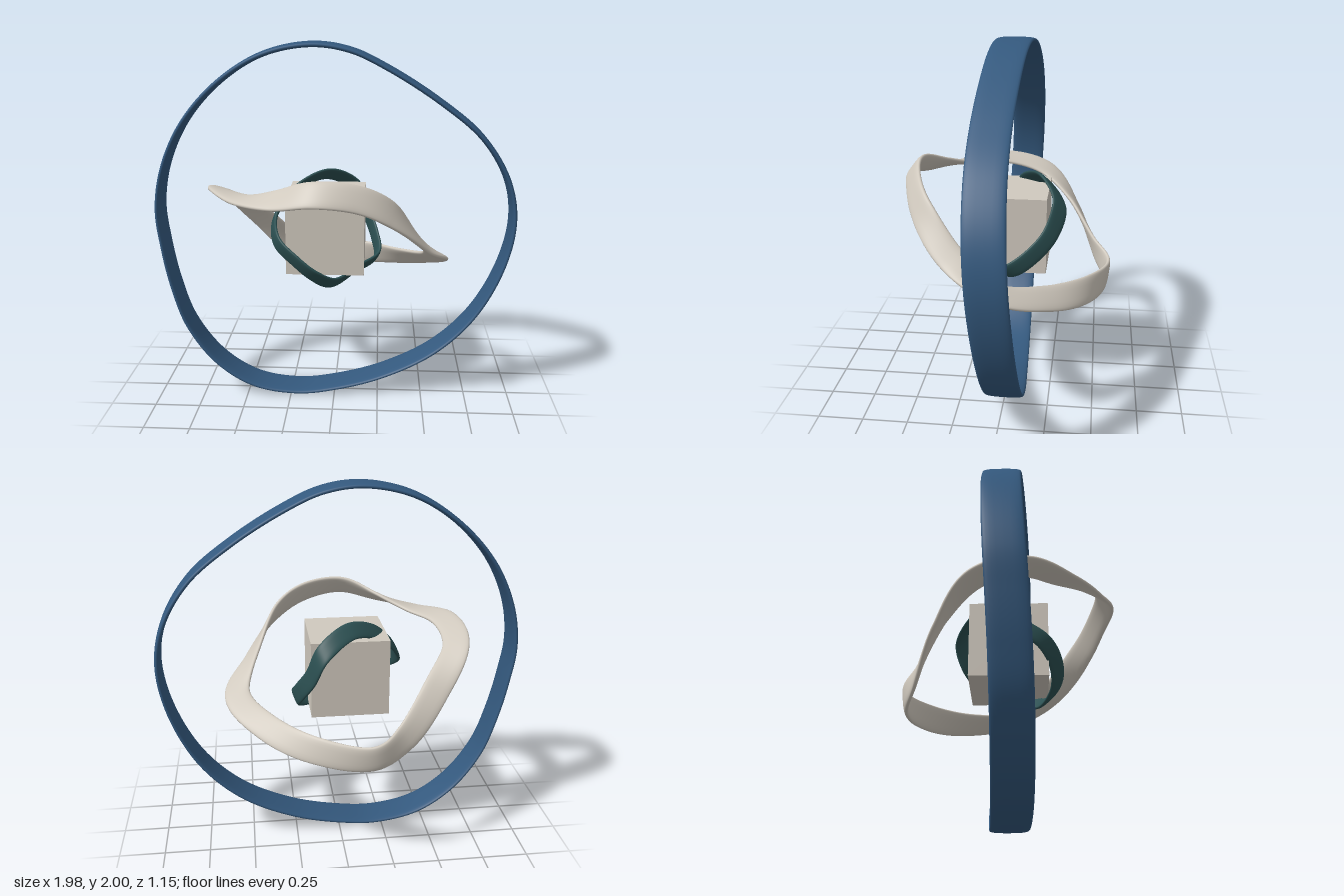
import * as THREE from 'three';

const blue = new THREE.MeshStandardMaterial({ name: 'deepBlue', color: 0x34597e });
const teal = new THREE.MeshStandardMaterial({ name: 'darkTeal', color: 0x2c5052 });
const stone = new THREE.MeshStandardMaterial({ name: 'paleStone', color: 0xd0c9be });

const vec = (p) => new THREE.Vector3(...p);
const closed = (pts) => new THREE.CatmullRomCurve3(pts.map(vec), true, 'centripetal');

// Closed ribbon: a flat rounded section swept along a loop; widthAt gives the broad direction
function ribbon(name, material, path, widthAt, halfWidth, halfThick) {
  const steps = 240, sides = 24;
  const pos = [], index = [];
  const round = (v) => Math.sign(v) * Math.pow(Math.abs(v), 0.7);
  for (let i = 0; i < steps; i++) {
    const t = i / steps;
    const c = path.getPoint(t), T = path.getTangent(t);
    const W = widthAt(t);
    W.addScaledVector(T, -W.dot(T)).normalize();
    const N = T.clone().cross(W);
    for (let j = 0; j < sides; j++) {
      const a = (j / sides) * Math.PI * 2;
      const p = c.clone()
        .addScaledVector(W, halfWidth * round(Math.cos(a)))
        .addScaledVector(N, halfThick * round(Math.sin(a)));
      pos.push(p.x, p.y, p.z);
      const i2 = (i + 1) % steps, j2 = (j + 1) % sides;
      const A = i * sides + j, B = i * sides + j2, C = i2 * sides + j, D = i2 * sides + j2;
      index.push(A, B, C, B, D, C);
    }
  }
  const g = new THREE.BufferGeometry();
  g.setAttribute('position', new THREE.Float32BufferAttribute(pos, 3));
  g.setIndex(index);
  g.computeVertexNormals();
  const m = new THREE.Mesh(g, material);
  m.name = name;
  return m;
}

export function createModel() {
  const model = new THREE.Group();
  model.name = 'nestedRings';

  // Core block
  const core = new THREE.Mesh(new THREE.BoxGeometry(0.42, 0.42, 0.42), stone);
  core.name = 'coreCube';
  core.position.set(-0.043, 0.99, -0.013);
  model.add(core);

  // Large upright ring: three soft lobes, swaying slightly in depth
  const outline = [
    [0.99, 1.05], [0.945, 1.28], [0.8, 1.51], [0.57, 1.7], [0.28, 1.88], [0.08, 1.97],
    [-0.13, 1.998], [-0.39, 1.945], [-0.63, 1.8], [-0.83, 1.585], [-0.95, 1.34], [-0.993, 1.1],
    [-0.97, 0.88], [-0.92, 0.64], [-0.84, 0.41], [-0.68, 0.19], [-0.47, 0.05], [-0.22, 0.003],
    [0, 0.025], [0.28, 0.1], [0.57, 0.25], [0.79, 0.47], [0.94, 0.77],
  ];
  const outerPath = closed(outline.map(([x, y]) => {
    const a = Math.atan2(y - 1, x);
    return [x * 0.985, 1 + (y - 1) * 0.985, -0.013 + 0.028 * Math.sin(2 * a)];
  }));
  model.add(ribbon('outerRing', blue, outerPath, () => new THREE.Vector3(0, 0, 1), 0.1, 0.015));

  // Middle tilted ring: centre points, each with its broad direction
  const middle = [
    [[-0.08, 1.3, 0.52], [0, -0.11, 0.09]],
    [[0.15, 1.27, 0.49], [0.02, -0.125, 0.06]],
    [[0.31, 1.18, 0.42], [0.03, -0.11, 0.04]],
    [[0.47, 0.98, 0.24], [0.08, -0.09, 0.04]],
    [[0.56, 0.835, 0], [0.14, -0.05, 0]],
    [[0.41, 0.75, -0.25], [0.08, -0.09, -0.05]],
    [[0.17, 0.705, -0.46], [0.02, -0.13, -0.03]],
    [[-0.13, 0.69, -0.555], [0, -0.16, 0.02]],
    [[-0.3, 0.765, -0.48], [-0.03, -0.14, -0.02]],
    [[-0.48, 0.97, -0.35], [-0.08, -0.08, -0.05]],
    [[-0.62, 1.14, -0.17], [-0.13, 0.03, -0.03]],
    [[-0.61, 1.21, 0.08], [-0.12, 0.03, 0.03]],
    [[-0.47, 1.215, 0.28], [-0.08, -0.01, 0.08]],
    [[-0.28, 1.25, 0.43], [-0.05, -0.06, 0.07]],
  ];
  const middleTwist = closed(middle.map((p) => p[1]));
  model.add(ribbon('middleRing', stone, closed(middle.map((p) => p[0])),
    (t) => middleTwist.getPoint(t), 0.073, 0.015));

  // Small ring winding around the core
  const inner = [
    [-0.33, 1.04, 0.03], [-0.3, 0.95, 0.17], [-0.2, 0.87, 0.235], [-0.1, 0.79, 0.24],
    [0, 0.73, 0.18], [0.12, 0.775, 0.08], [0.235, 0.82, -0.04], [0.22, 0.91, -0.16],
    [0.17, 1.02, -0.25], [0.11, 1.16, -0.285], [-0.04, 1.25, -0.2], [-0.18, 1.215, -0.11],
    [-0.28, 1.13, -0.05],
  ];
  model.add(ribbon('innerRing', teal, closed(inner),
    () => new THREE.Vector3(0.31, 0.7, 0.64), 0.05, 0.011));

  return model;
}
